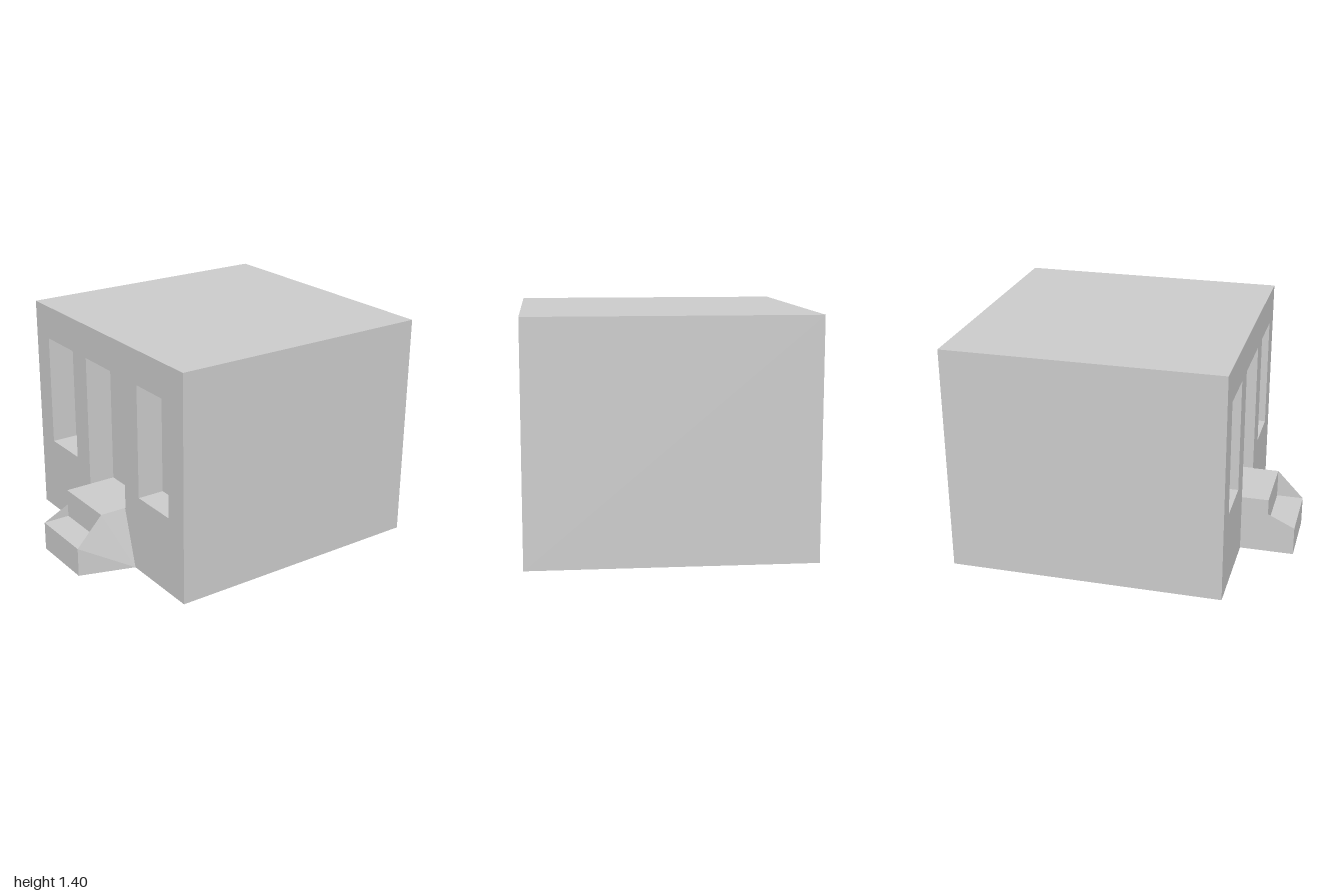
import * as THREE from 'three';

const material = new THREE.MeshStandardMaterial({ color: 0xcccccc, flatShading: true });
const thinMaterial = material.clone();
thinMaterial.side = THREE.DoubleSide;

const WALL = -0.667, RECESS = -0.5, HALF = 0.832, HEIGHT = 1.4;
const PORCH = 0.357, TREAD = 0.18, NOSE = -0.833;
const NEAR = -0.21, FAR = 0.205;

function part(name, geometry, mat = material) {
  const mesh = new THREE.Mesh(geometry, mat);
  mesh.name = name;
  return mesh;
}

function outline(points, Type = THREE.Shape) {
  return new Type(points.map(([a, b]) => new THREE.Vector2(a, b)));
}

function rect(a0, b0, a1, b1, Type) {
  return outline([[a0, b0], [a1, b0], [a1, b1], [a0, b1]], Type);
}

// Triangles given as triples of corner points
function triangles(list) {
  const geometry = new THREE.BufferGeometry();
  geometry.setAttribute('position', new THREE.Float32BufferAttribute(list.flat(2), 3));
  geometry.computeVertexNormals();
  return geometry;
}

export function createModel() {
  const group = new THREE.Group();
  group.name = 'house';

  // Solid body behind the recessed openings
  const body = new THREE.BoxGeometry(1 - RECESS, HEIGHT, HALF * 2);
  body.translate((1 + RECESS) / 2, HEIGHT / 2, 0);
  group.add(part('body', body));

  // Entrance wall with a doorway and two window recesses
  const wall = rect(-HALF, 0, HALF, HEIGHT);
  wall.holes.push(
    rect(-0.21, PORCH, 0.21, 1.19, THREE.Path),
    rect(-0.68, 0.485, -0.364, 1.19, THREE.Path),
    rect(0.364, 0.485, 0.68, 1.19, THREE.Path)
  );
  const wallGeometry = new THREE.ExtrudeGeometry(wall, { depth: RECESS - WALL, bevelEnabled: false });
  wallGeometry.rotateY(-Math.PI / 2).translate(RECESS, 0, 0);
  group.add(part('entranceWall', wallGeometry));

  // Porch with one lower step
  const profile = outline([[WALL, 0], [WALL, PORCH], [NOSE, PORCH], [NOSE, TREAD], [-1, TREAD], [-1, 0]]);
  const steps = new THREE.ExtrudeGeometry(profile, { depth: FAR - NEAR, bevelEnabled: false });
  steps.translate(0, 0, NEAR);
  group.add(part('steps', steps));

  // Sloping bank flaring out at the foot of the wall
  const foot = [WALL, 0, 0.31];
  const rim = [[WALL, PORCH, FAR], [NOSE, PORCH, FAR], [-1, TREAD, FAR], [-1, 0, FAR]];
  const faces = rim.slice(1).map((p, i) => [foot, rim[i], p]);
  faces.push([[-1, 0, FAR], [WALL, 0, FAR], foot]);
  faces.push([[-1, TREAD, FAR], [NOSE, PORCH, FAR], [NOSE, TREAD, FAR]]);
  group.add(part('sideBank', triangles(faces), thinMaterial));

  // Low thin cheek on the other side of the step
  const cheek = [[[-1, TREAD, NEAR], [NOSE, 0.26, NEAR], [NOSE, TREAD, NEAR]]];
  group.add(part('stepCheek', triangles(cheek), thinMaterial));

  return group;
}
